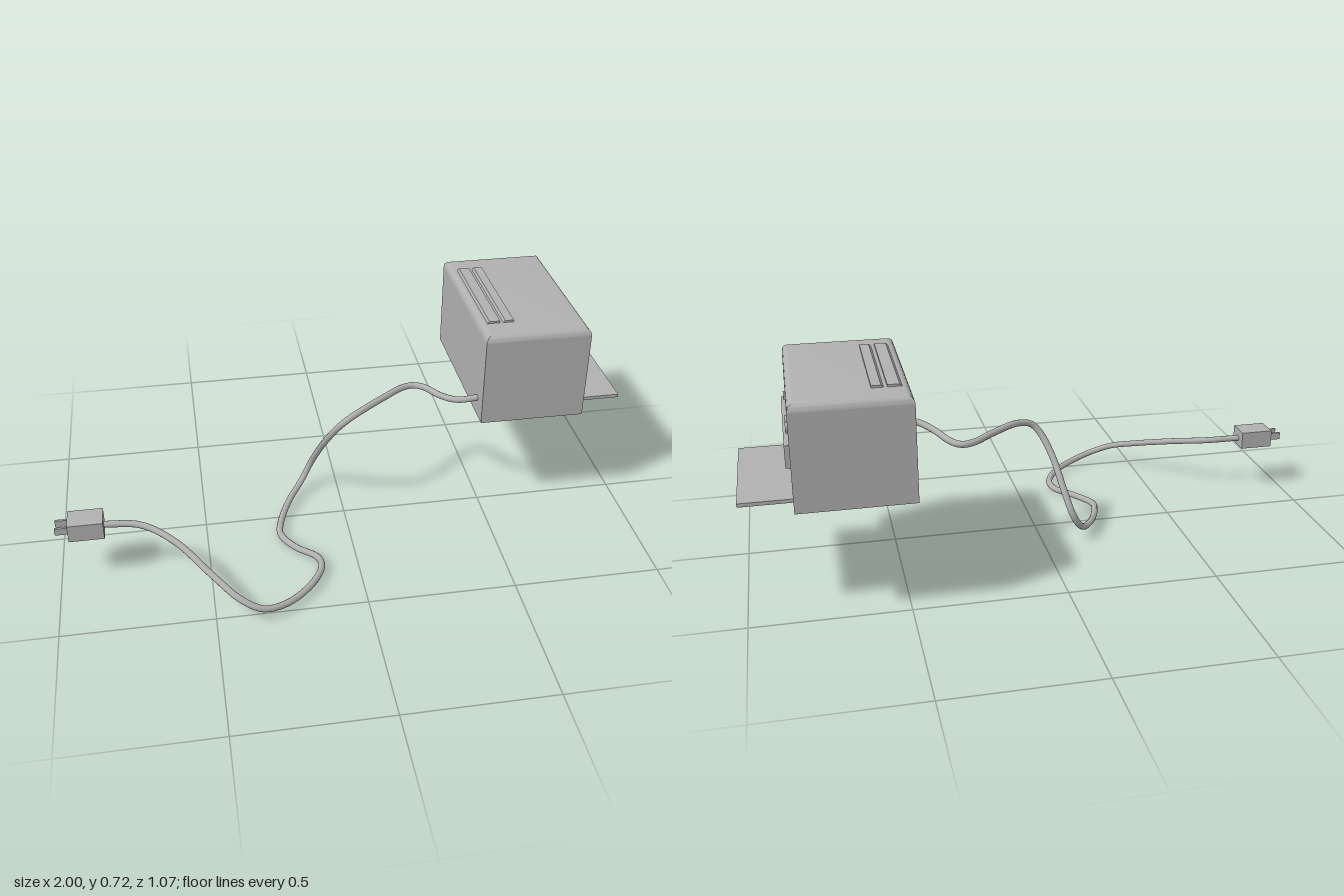
import * as THREE from 'three';
import { toCreasedNormals } from 'three/addons/utils/BufferGeometryUtils.js';

const grey = new THREE.MeshStandardMaterial({ color: 0xb0b0b0 });
grey.name = 'grey plastic';

function add(parent, name, geometry) {
  const mesh = new THREE.Mesh(geometry, grey);
  mesh.name = name;
  parent.add(mesh);
  return mesh;
}

// Box given by its minimum and maximum corners
function box(parent, name, [x0, y0, z0], [x1, y1, z1]) {
  const mesh = add(parent, name, new THREE.BoxGeometry(x1 - x0, y1 - y0, z1 - z0));
  mesh.position.set((x0 + x1) / 2, (y0 + y1) / 2, (z0 + z1) / 2);
  return mesh;
}

const rect = (C, x0, y0, x1, y1) => new C([[x0, y0], [x1, y0], [x1, y1], [x0, y1]].map(p => new THREE.Vector2(...p)));

// Top cover whose four upper edges are rounded
function roundedCap(x0, x1, z0, z1, y, r) {
  const pos = [], steps = 6, rings = [];
  for (let i = 0; i <= steps; i++) {
    const t = (i / steps) * Math.PI / 2, d = r * (1 - Math.cos(t)), h = y + r * Math.sin(t);
    rings.push([[x0 + d, h, z1 - d], [x1 - d, h, z1 - d], [x1 - d, h, z0 + d], [x0 + d, h, z0 + d]]);
  }
  const quad = (a, b, c, d) => pos.push(...a, ...b, ...c, ...a, ...c, ...d);
  for (let i = 0; i < steps; i++) {
    for (let k = 0; k < 4; k++) {
      const n = (k + 1) % 4;
      quad(rings[i][k], rings[i][n], rings[i + 1][n], rings[i + 1][k]);
    }
  }
  quad(...rings[steps]);
  const g = new THREE.BufferGeometry();
  g.setAttribute('position', new THREE.Float32BufferAttribute(pos, 3));
  return toCreasedNormals(g, 0.5);
}

export function createModel() {
  const model = new THREE.Group();
  model.name = 'printerWithCable';
  const printer = new THREE.Group();
  printer.name = 'printer';
  model.add(printer);

  // Housing: solid rear, front shell with the paper opening, rounded cover
  const X0 = 0.47, X1 = 0.835, Z0 = -0.537, Z1 = 0.075, Y0 = 0.383, YC = 0.695, XM = 0.7;
  box(printer, 'rearHousing', [X0, Y0, Z0], [XM, YC, Z1]);
  const face = rect(THREE.Shape, -Z1, Y0, -Z0, YC);
  face.holes.push(rect(THREE.Path, 0.012, 0.39, 0.452, 0.5));
  const shell = add(printer, 'frontHousing',
    new THREE.ExtrudeGeometry(face, { depth: X1 - XM, bevelEnabled: false }));
  shell.rotation.y = Math.PI / 2;
  shell.position.x = XM;
  add(printer, 'topCover', roundedCap(X0, X1, Z0, Z1, YC, 0.025));

  // Output tray and the flap above it
  box(printer, 'paperTray', [XM, 0.384, -0.455], [1, 0.396, -0.01]);
  box(printer, 'outputFlap', [X1 - 0.01, 0.494, -0.453], [0.85, 0.566, -0.012]);

  // Raised paper feed: two sloped strips with a slot between
  const feed = new THREE.Group();
  feed.name = 'paperFeed';
  printer.add(feed);
  for (const [a, b] of [[0.495, 0.54], [0.55, 0.588]]) {
    const profile = new THREE.Shape();
    profile.moveTo(a, 0.719);
    profile.lineTo(b, 0.719);
    profile.lineTo(b, 0.727);
    profile.lineTo(a + 0.008, 0.727);
    const strip = add(feed, 'feedStrip',
      new THREE.ExtrudeGeometry(profile, { depth: 0.42, bevelEnabled: false }));
    strip.position.z = -0.44;
  }

  // Control buttons and indicator
  for (const z of [-0.41, -0.35]) {
    const button = add(printer, 'button', new THREE.CylinderGeometry(0.017, 0.017, 0.014, 24));
    button.rotation.z = -Math.PI / 2;
    button.position.set(X1, 0.606, z);
  }
  box(printer, 'indicator', [X1 - 0.005, 0.64, -0.26], [X1 + 0.006, 0.651, -0.21]);

  // Power cable
  const path = [
    [-0.85, 0.196, 0.19], [-0.72, 0.19, 0.207], [-0.61, 0.165, 0.285], [-0.5, 0.115, 0.415],
    [-0.42, 0.077, 0.5], [-0.35, 0.047, 0.525], [-0.27, 0.032, 0.495], [-0.18, 0.028, 0.415],
    [-0.13, 0.025, 0.325], [-0.135, 0.021, 0.265], [-0.2, 0.015, 0.195], [-0.245, 0.016, 0.115],
    [-0.235, 0.021, 0.045], [-0.19, 0.031, -0.065], [-0.135, 0.055, -0.145], [-0.1, 0.11, -0.165],
    [-0.076, 0.19, -0.125], [-0.053, 0.285, -0.055], [-0.02, 0.36, -0.01], [0.01, 0.394, 0],
    [0.064, 0.412, -0.025], [0.166, 0.414, -0.102], [0.24, 0.41, -0.16], [0.283, 0.409, -0.17],
    [0.315, 0.413, -0.145], [0.358, 0.424, -0.06], [0.406, 0.436, -0.005], [0.48, 0.448, 0.008],
  ].map(p => new THREE.Vector3(...p));
  add(model, 'powerCable', new THREE.TubeGeometry(new THREE.CatmullRomCurve3(path), 140, 0.0115, 10));

  // Plug with two prongs
  const plug = new THREE.Group();
  plug.name = 'plug';
  model.add(plug);
  box(plug, 'plugBody', [-0.957, 0.168, 0.147], [-0.84, 0.231, 0.233]);
  for (const z of [0.168, 0.211]) box(plug, 'prong', [-1, 0.187, z - 0.004], [-0.95, 0.213, z + 0.004]);

  return model;
}
